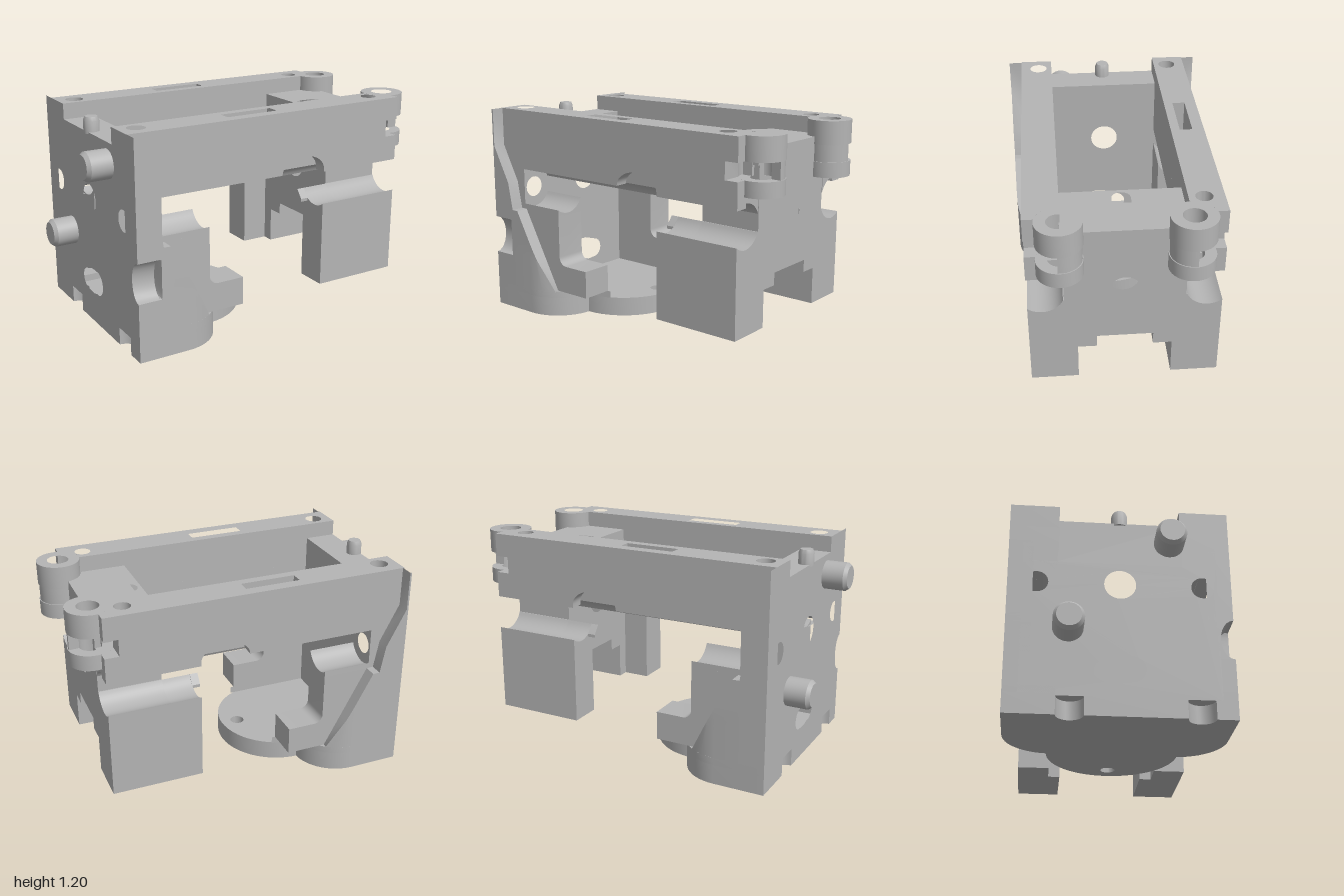
import * as THREE from 'three';
import { toCreasedNormals } from 'three/addons/utils/BufferGeometryUtils.js';

const grey = new THREE.MeshStandardMaterial({ color: 0xb4b4b4 });
grey.name = 'machined grey';

const PI = Math.PI;
// Rod channel running along both sides
const ROD = { z: 0.43, y: 0.735, r: 0.12 };

function arc(cx, cy, r, a0, a1, n = 14) {
  return Array.from({ length: n + 1 }, (_, i) => {
    const a = a0 + ((a1 - a0) * i) / n;
    return [cx + r * Math.cos(a), cy + r * Math.sin(a)];
  });
}
const circle = (cx, cy, r, n = 32) => arc(cx, cy, r, 0, 2 * PI * (1 - 1 / n), n - 1);
const rect = (x0, y0, x1, y1) => [[x0, y0], [x1, y0], [x1, y1], [x0, y1]];

// Extrudes an outline from a to b. Points: x axis [z,y], y axis [x,z], z axis [x,y].
function extrude(axis, a, b, pts, holes = []) {
  const map = ([u, v]) =>
    axis === 'x' ? new THREE.Vector2(-u, v) : axis === 'y' ? new THREE.Vector2(u, -v) : new THREE.Vector2(u, v);
  const shape = new THREE.Shape(pts.map(map));
  shape.holes = holes.map((h) => new THREE.Path(h.map(map)));
  const g = new THREE.ExtrudeGeometry(shape, { depth: b - a, bevelEnabled: false });
  g.translate(0, 0, a);
  if (axis === 'x') g.rotateY(PI / 2);
  if (axis === 'y') g.rotateX(-PI / 2);
  return toCreasedNormals(g, 0.6);
}

// Outer side of the left wall: rounded lobe cut by a slope, thinning to a fin on top
function flangeGeometry(s) {
  const ys = [0.14, 0.15, 0.329];
  for (let i = 0; i <= 12; i++) ys.push(0.44 - 0.11 * Math.cos((PI * i) / 12));
  ys.push(0.551, 0.61, 0.611, 0.77, 0.98, 1.2);
  const endX = (y) => {
    if (y <= 0.61) return -0.42 - (0.25 * Math.max(0, y - 0.15)) / 0.46;
    if (y <= 0.77) return -0.71 - (0.03 * (y - 0.61)) / 0.16;
    return Math.max(-0.85, -0.74 - (0.11 * (y - 0.77)) / 0.21);
  };
  const outZ = (x, y) => {
    const z = x < -0.57 ? 0.58 : 0.33 + Math.sqrt(0.0625 - (x + 0.57) ** 2);
    const t = (y - 0.44) / 0.11;
    const scoop = s > 0 && x < -0.73 && Math.abs(t) < 1 ? 0.07 * Math.sqrt(1 - t * t) : 0;
    return z - scoop;
  };
  const pos = [], idx = [];
  const xsBase = [-0.86, -0.735, -0.725, -0.57, -0.53, -0.49, -0.45, -0.42];
  ys.forEach((y) => {
    const e = endX(y);
    const ring = xsBase.map((x) => Math.min(x, e)).map((x) => [x, outZ(x, y)]);
    [[-0.86, 0.45], ...ring, [e, 0.45]].forEach(([x, z]) => pos.push(x, y, z * s));
  });
  const n = xsBase.length + 2;
  for (let i = 0; i < ys.length - 1; i++)
    for (let j = 0; j < n - 1; j++) {
      const a = i * n + j, b = a + 1, c = a + n, d = c + 1;
      if (s > 0) idx.push(a, b, c, b, d, c);
      else idx.push(a, c, b, b, c, d);
    }
  const g = new THREE.BufferGeometry();
  g.setAttribute('position', new THREE.Float32BufferAttribute(pos, 3));
  g.setIndex(idx);
  return toCreasedNormals(g, 0.5);
}

export function createModel() {
  const model = new THREE.Group();
  model.name = 'bracketFrame';
  const add = (name, geo, parent = model) => {
    const m = new THREE.Mesh(geo, grey);
    m.name = name;
    parent.add(m);
    return m;
  };

  // Base: round disc with two side lobes and scallops in the outer edge
  const lobe = arc(-0.57, 0.33, 0.25, PI / 2, 0.08, 12);
  const mirrorZ = (pts) => pts.map(([x, z]) => [x, -z]);
  add('baseDisc', extrude('y', 0, 0.11, [
    [-0.86, 0.58], ...lobe, ...arc(-0.33, 0, 0.35, PI / 2 - 0.05, -PI / 2 + 0.05, 40),
    ...mirrorZ(lobe).reverse(), [-0.86, -0.58],
    ...arc(-0.86, -0.25, 0.07, -PI / 2, PI / 2), ...arc(-0.86, 0.4, 0.07, -PI / 2, PI / 2),
  ], [circle(-0.08, 0, 0.04)]));

  // Left end wall with bearing holes and a lobed opening
  const lobedOpening = [
    ...arc(0.06, 0.255, 0.07, 0.6, 2 * PI - 0.9, 20),
    ...arc(-0.075, 0.24, 0.06, PI + 1, 3 * PI - 1, 20).map(([z, y]) => [z, y]),
  ];
  const opening = [
    ...arc(0.06, 0.255, 0.07, -PI / 2 - 0.2, PI / 2, 16), [0, 0.325],
    ...arc(-0.075, 0.24, 0.06, PI / 2 + 0.4, 1.5 * PI, 16), [0, 0.175],
  ];
  lobedOpening.length = 0;
  add('leftWall', extrude('x', -0.86, -0.68, [
    [-0.505, 0.1], [0.505, 0.1], [0.505, 0.86], [0.325, 0.86], [0.325, 1.11],
    [-0.325, 1.11], [-0.325, 0.86], [-0.505, 0.86],
  ], [circle(0, 0.735, 0.083), circle(ROD.z, ROD.y, 0.06), circle(-ROD.z, ROD.y, 0.06), opening]));

  // Locating pin on the wall and two pegs at the end
  const pin = (name, r, len) => add(name, toCreasedNormals(new THREE.LatheGeometry(
    [[0, 0], [r, 0], [r, len - 0.02], [r * 0.8, len], [0, len]].map((p) => new THREE.Vector2(...p)), 32), 0.5));
  pin('topPin', 0.043, 0.09).position.set(-0.83, 1.1, 0);
  [[0.995, 0.26], [0.475, -0.265]].forEach(([y, z]) => {
    const p = pin('endPeg', 0.08, 0.15);
    p.rotation.z = PI / 2;
    p.position.set(-0.85, y, z);
  });

  // Right cross block: stepped opening below, through bore, end pocket and top slot
  const cross = [
    [0.315, 0.36], [0.315, 1.03], [-0.315, 1.03], [-0.315, 0.36],
    [-0.15, 0.36], [-0.15, 0.43], [0.15, 0.43], [0.15, 0.36],
  ];
  const bore = circle(0, 0.735, 0.083);
  add('crossBlock', extrude('x', 0.5, 0.75, cross, [bore]));
  add('crossBlockEnd', extrude('x', 0.75, 0.855, cross, [bore, rect(-0.085, 0.935, 0.085, 1.02)]));
  add('crossBlockTop', extrude('y', 1.03, 1.11, rect(0.5, -0.325, 0.855, 0.325), [[
    ...arc(0.64, 0, 0.05, -PI / 2, PI / 2), ...arc(0.57, 0, 0.05, PI / 2, 1.5 * PI),
  ]]));

  for (const s of [1, -1]) {
    const side = new THREE.Group();
    side.name = s > 0 ? 'frontSide' : 'backSide';
    model.add(side);
    const onX = (name, a, b, pts) => add(name, extrude('x', a, b, pts.map(([z, y]) => [z * s, y])), side);
    const onY = (name, a, b, pts, holes = []) => {
      const m = (p) => p.map(([x, z]) => [x, z * s]);
      return add(name, extrude('y', a, b, m(pts), holes.map(m)), side);
    };
    const onZ = (name, a, b, pts) =>
      add(name, s > 0 ? extrude('z', a, b, pts) : extrude('z', -b, -a, pts), side);

    // Raised base shoulder and sloping flange
    onY('baseShoulder', 0.11, 0.15, [[-0.86, 0.32], [-0.86, 0.58], ...lobe, [-0.32, 0.36], [-0.17, 0.32]]);
    add('wallFlange', flangeGeometry(s), side);

    // Rail top in layers, with bolt holes, slot and knuckle notch
    const holes = [circle(-0.76, 0.4, 0.05), circle(0.72, 0.4, 0.045), rect(-0.25, 0.37, 0.06, 0.44)];
    const railPlan = (notched) => [
      [-0.86, 0.32], ...arc(0.88, 0.33, 0.12, PI + 0.083, notched ? 2.6 : 1.78),
      ...(notched ? [[0.777, 0.505]] : [[0.855, 0.505]]), [-0.86, 0.505],
    ];
    [[0.95, 0.975], [0.975, 1.07], [1.07, 1.2]].forEach(([a, b], i) =>
      onY('railLayer', a, b, railPlan(i === 1), holes));

    // Rail underside: rod channel inside, arched recess outside
    onX('railChannel', -0.86, 0.855, [
      [0.43, 0.95], [0.32, 0.95], ...arc(ROD.z, ROD.y, ROD.r, 2.731, PI / 2)]);
    onZ('railSkirt', 0.43, 0.505, [
      [-0.86, 0.95], [-0.86, 0.85], [0.06, 0.85],
      ...arc(0.2, 0.85, 0.14, PI, 0, 20).map(([x, y]) => [x, 0.85 + (y - 0.85) * 0.64]),
      [0.34, 0.83], [0.855, 0.83], [0.855, 0.95]]);

    // Left arm with foot and rod cradle
    const cradle = arc(ROD.z, ROD.y, ROD.r, 5.386, 3.553);
    onZ('armBody', 0.32, 0.505, [
      [-0.7, 0.15], [-0.19, 0.15], [-0.19, 0.31],
      ...arc(-0.35, 0.36, 0.05, -PI / 2, -PI, 8), [-0.4, 0.61], [-0.7, 0.61]]);
    onX('armCradle', -0.7, -0.4, [[0.32, 0.6], [0.505, 0.6], ...cradle]);

    // Right leg with rod cradle and lip
    onX('legFront', 0.34, 0.5, [[0.32, 0.15], [0.505, 0.15], ...cradle]);
    onX('legRear', 0.5, 0.855, [[0.25, 0.15], [0.505, 0.15], ...cradle, [0.25, 0.687]]);
    onX('legLip', 0.295, 0.34, [[0.32, 0.62], [0.36, 0.62], [0.36, 0.637], [0.32, 0.687]]);

    // Hinge lug: two bored discs joined by a half knuckle
    const lugHole = [circle(0.88, 0.33, 0.06)];
    onY('lugLower', 0.89, 0.975, circle(0.88, 0.33, 0.12, 40), lugHole);
    onY('lugUpper', 1.07, 1.2, circle(0.88, 0.33, 0.12, 40), lugHole);
    onY('lugKnuckle', 0.975, 1.07, [
      ...arc(0.88, 0.33, 0.115, -PI, 0.1, 24), ...arc(0.88, 0.33, 0.06, 0.1, -PI, 20)]);
  }
  return model;
}
